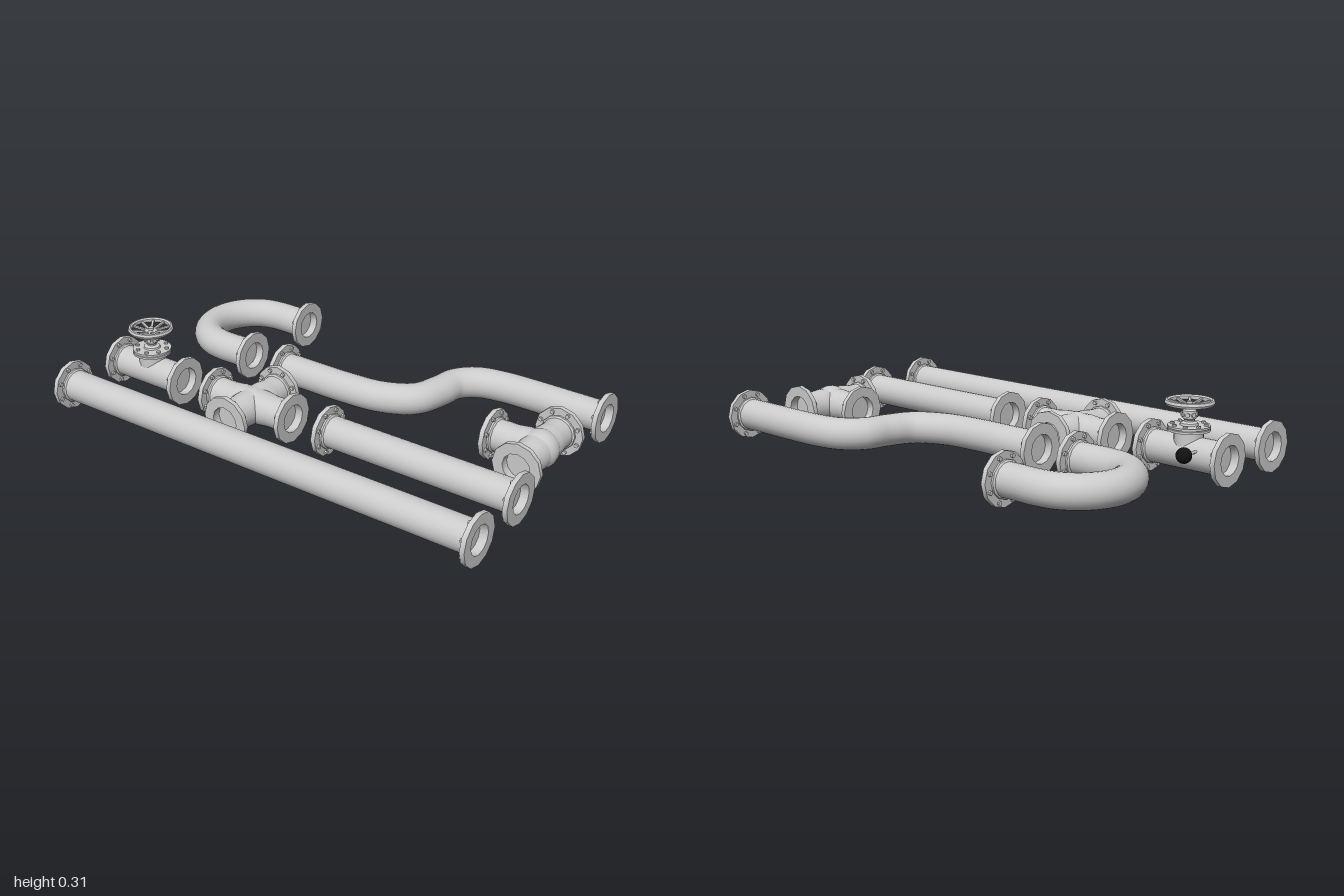
import * as THREE from 'three';
import { toCreasedNormals } from 'three/addons/utils/BufferGeometryUtils.js';

const grey = new THREE.MeshStandardMaterial({ color: 0xcccccc });
const black = new THREE.MeshStandardMaterial({ color: 0x111111 });
const Y = 0.105;        // height of every pipe axis
const R = 0.066;        // pipe radius
const UP = new THREE.Vector3(0, 1, 0);
const v = (x, z, y = Y) => new THREE.Vector3(x, y, z);

function mesh(name, geometry, parent, material = grey) {
  const m = new THREE.Mesh(geometry, material);
  m.name = name;
  parent.add(m);
  return m;
}

function group(name, parent) {
  const g = new THREE.Group();
  g.name = name;
  parent.add(g);
  return g;
}

// Turned part with sharp edges kept
function turned(points, sides) {
  const profile = points.map(([r, y]) => new THREE.Vector2(r, y));
  return toCreasedNormals(new THREE.LatheGeometry(profile, sides), 0.6);
}

// Flange with recessed bore; local +y points out of the pipe, its face at y = 0
const flangeGeo = turned([
  [R, -0.034], [0.074, -0.028], [0.074, -0.02], [0.105, -0.02],
  [0.105, 0], [0.06, 0], [0.06, -0.035], [0, -0.035],
], 12);
const boltGeo = toCreasedNormals(new THREE.CylinderGeometry(0.009, 0.009, 0.01, 6), 0.5);

function addFlange(parent, position, direction) {
  const g = group('flange', parent);
  mesh('flangeDisc', flangeGeo, g);
  for (let i = 0; i < 8; i++) {
    const a = (i + 0.5) * Math.PI / 4;
    mesh('bolt', boltGeo, g).position.set(0.088 * Math.cos(a), -0.024, 0.088 * Math.sin(a));
  }
  g.position.copy(position);
  g.quaternion.setFromUnitVectors(UP, direction);
}

// Straight tube between two points
function addTube(name, parent, a, b, radius = R, sides = 24) {
  const d = b.clone().sub(a);
  const m = mesh(name, new THREE.CylinderGeometry(radius, radius, d.length(), sides, 1, true), parent);
  m.position.copy(a).add(b).multiplyScalar(0.5);
  m.quaternion.setFromUnitVectors(UP, d.normalize());
}

// Straight pipe with a flange at each end
function addStraightPipe(name, parent, x, z0, z1) {
  const g = group(name, parent);
  addTube('pipe', g, v(x, z0 + 0.02), v(x, z1 - 0.02));
  addFlange(g, v(x, z0), v(0, -1, 0));
  addFlange(g, v(x, z1), v(0, 1, 0));
  return g;
}

// Pipe swept along a curve with a flange at each end
function addBentPipe(name, parent, curve, steps) {
  const g = group(name, parent);
  mesh('bentPipe', new THREE.TubeGeometry(curve, steps, R, 24), g);
  for (const [t, s] of [[0, -1], [1, 1]]) {
    const dir = curve.getTangent(t).multiplyScalar(s);
    addFlange(g, curve.getPoint(t).addScaledVector(dir, 0.02), dir);
  }
}

// Arms meeting in a slightly swollen hub; each arm is [dirX, dirZ, length]
function addFitting(name, parent, x, z, arms, hubRadius) {
  const g = group(name, parent);
  mesh('hub', new THREE.SphereGeometry(hubRadius, 24, 16), g).position.copy(v(x, z));
  for (const [dx, dz, length] of arms) {
    const dir = v(dx, dz, 0);
    const arm = mesh('arm', new THREE.LatheGeometry([
      [0.072, 0], [0.072, 0.06], [0.069, 0.085], [R, 0.11], [R, length - 0.02],
    ].map(([r, y]) => new THREE.Vector2(r, y)), 24), g);
    arm.position.copy(v(x, z));
    arm.quaternion.setFromUnitVectors(UP, dir);
    addFlange(g, v(x, z).addScaledVector(dir, length), dir);
  }
}

function addValve(parent) {
  const x = -0.232, z = -0.81;
  const g = addStraightPipe('valve', parent, x, -1, -0.62);

  // Bonnet: neck, bolted double plate and stem
  const bonnet = mesh('bonnet', turned([
    [0.058, 0.11], [0.058, 0.188], [0.083, 0.192], [0.083, 0.201], [0.078, 0.202],
    [0.078, 0.204], [0.083, 0.205], [0.083, 0.213], [0.036, 0.214], [0.034, 0.222],
    [0.02, 0.228], [0.02, 0.234], [0.027, 0.24], [0.029, 0.255], [0.027, 0.27],
    [0.018, 0.276], [0.018, 0.283], [0.026, 0.284], [0.026, 0.294], [0.012, 0.296],
    [0.012, 0.306], [0, 0.306],
  ], 20), g);
  bonnet.position.set(x, 0, z);
  for (let i = 0; i < 8; i++) {
    const a = (i + 0.5) * Math.PI / 4, c = Math.cos(a), s = Math.sin(a);
    mesh('bonnetBolt', boltGeo, g).position.set(x + 0.066 * c, 0.216, z + 0.066 * s);
    const nut = mesh('stemNut', boltGeo, g);
    nut.position.set(x + 0.028 * c, 0.255, z + 0.028 * s);
    nut.quaternion.setFromUnitVectors(UP, new THREE.Vector3(c, 0, s));
  }

  // Dished handwheel
  const wheel = group('handwheel', g);
  wheel.position.set(x, 0, z);
  mesh('rim', turned([
    [0.08, 0.296], [0.086, 0.291], [0.093, 0.293], [0.097, 0.302],
    [0.093, 0.312], [0.086, 0.314], [0.08, 0.308], [0.08, 0.296],
  ], 32), wheel);
  const spokeGeo = new THREE.BoxGeometry(0.07, 0.008, 0.01);
  for (let i = 0; i < 10; i++) {
    const arm = group('spokeArm', wheel);
    arm.rotation.y = i * Math.PI / 5;
    const spoke = mesh('spoke', spokeGeo, arm);
    spoke.position.set(0.052, 0.296, 0);
    spoke.rotation.z = 0.16;
  }

  // Side rod with a black knob
  addTube('knobRod', g, v(x + 0.02, -0.885, 0.13), v(-0.1, -0.885, 0.13), 0.006, 10);
  mesh('knob', new THREE.SphereGeometry(0.031, 24, 16), g, black).position.set(-0.097, 0.13, -0.885);
}

export function createModel() {
  const model = new THREE.Group();
  model.name = 'pipeSet';

  addStraightPipe('longPipe', model, -0.532, -1, 1);
  addStraightPipe('shortPipe', model, -0.218, 0.11, 0.988);
  addValve(model);

  addFitting('crossFitting', model, -0.225, -0.26,
    [[1, 0, 0.18], [-1, 0, 0.18], [0, 1, 0.21], [0, -1, 0.21]], 0.075);
  addFitting('teeFitting', model, 0.146, 0.865,
    [[1, 0, 0.183], [-1, 0, 0.183], [0, -1, 0.213]], 0.081);

  // U-shaped bend: two legs joined by a half circle
  const bend = [v(0.132, -0.565), v(0.132, -0.64)];
  for (let i = 0; i <= 8; i++) {
    const a = i * Math.PI / 8;
    bend.push(v(0.332 - 0.2 * Math.cos(a), -0.717 - 0.2 * Math.sin(a)));
  }
  bend.push(v(0.532, -0.64), v(0.532, -0.565));
  addBentPipe('uBend', model, new THREE.CatmullRomCurve3(bend), 48);

  // Offset pipe with an S-shaped middle
  const offset = [
    [0.122, -0.355], [0.122, -0.2], [0.122, -0.05], [0.142, 0.132], [0.212, 0.254], [0.323, 0.296],
    [0.423, 0.317], [0.492, 0.386], [0.519, 0.503], [0.524, 0.61], [0.524, 0.8], [0.524, 0.95],
  ].map(([x, z]) => v(x, z));
  addBentPipe('offsetPipe', model, new THREE.CatmullRomCurve3(offset), 64);

  return model;
}
